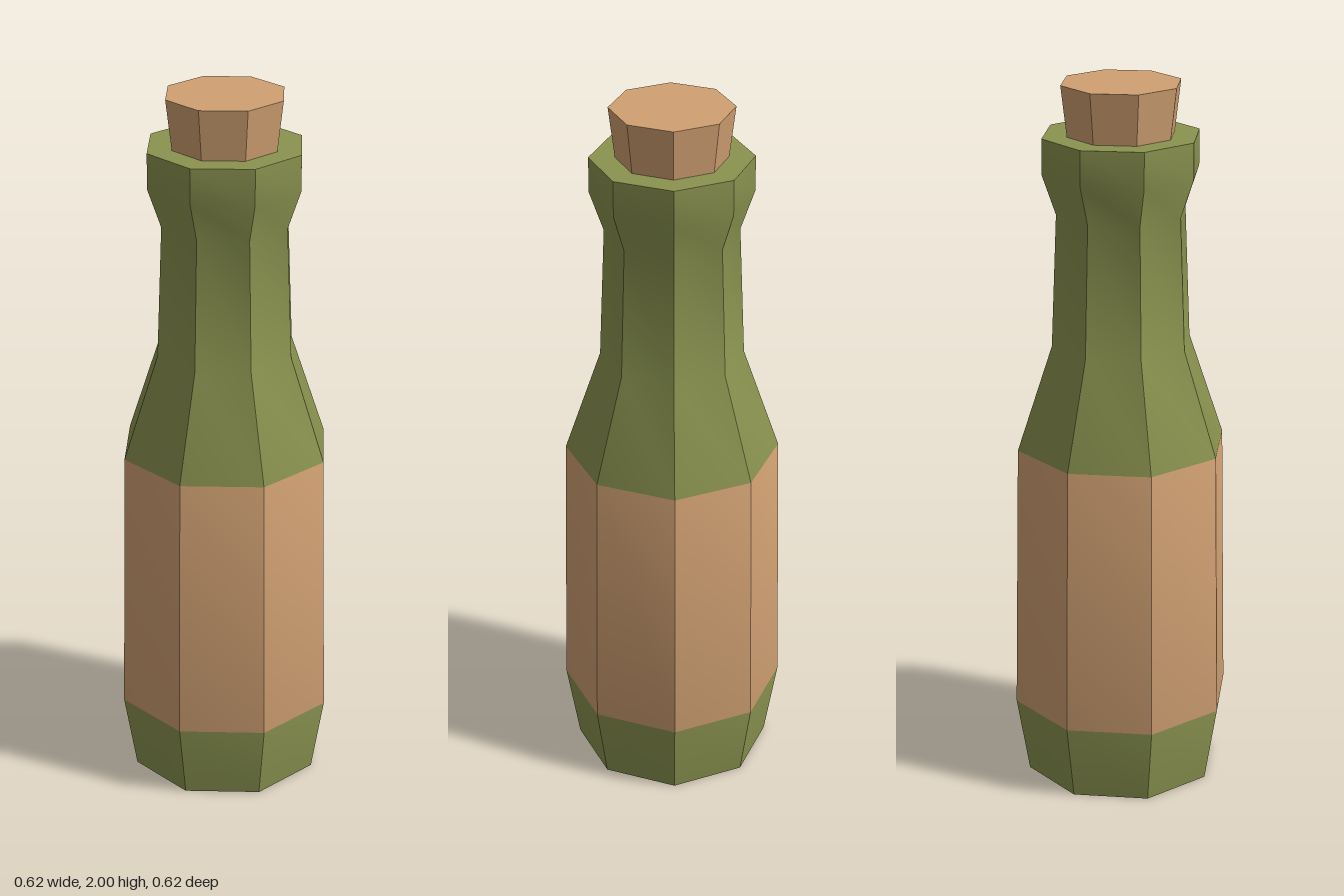
import * as THREE from 'three';
import { toCreasedNormals } from 'three/addons/utils/BufferGeometryUtils.js';

const SIDES = 8;

// Eight-sided turned solid: sharp between sides, smooth up each side
function turned(profile) {
  const points = profile.map(([r, y]) => new THREE.Vector2(r, y));
  return toCreasedNormals(new THREE.LatheGeometry(points, SIDES), THREE.MathUtils.degToRad(35));
}

export function createModel() {
  const glass = new THREE.MeshStandardMaterial({ color: 0x8b9450 });
  glass.name = 'green glass';
  const tan = new THREE.MeshStandardMaterial({ color: 0xd0a072 });
  tan.name = 'tan cork and paper';

  const model = new THREE.Group();
  model.name = 'bottle';

  // Glass body, with the straight band wrapped in a paper label
  const profile = [
    [0, 0], [0.275, 0],            // underside
    [0.312, 0.22], [0.297, 0.985], // label band
    [0.197, 1.28], [0.182, 1.65],  // shoulder and neck
    [0.22, 1.76], [0.22, 1.86],    // lip
    [0, 1.86],
  ];
  const bodyGeometry = turned(profile);
  const labelBand = 2;
  const bands = profile.length - 1;
  bodyGeometry.clearGroups();
  for (let i = 0; i < SIDES * bands; i++) {
    bodyGeometry.addGroup(i * 6, 6, i % bands === labelBand ? 1 : 0);
  }
  const body = new THREE.Mesh(bodyGeometry, [glass, tan]);
  body.name = 'glassBodyWithLabel';
  model.add(body);

  // Tapered cork stopper
  const cork = new THREE.Mesh(turned([[0, 1.8], [0.143, 1.8], [0.167, 2], [0, 2]]), tan);
  cork.name = 'cork';
  model.add(cork);

  return model;
}
